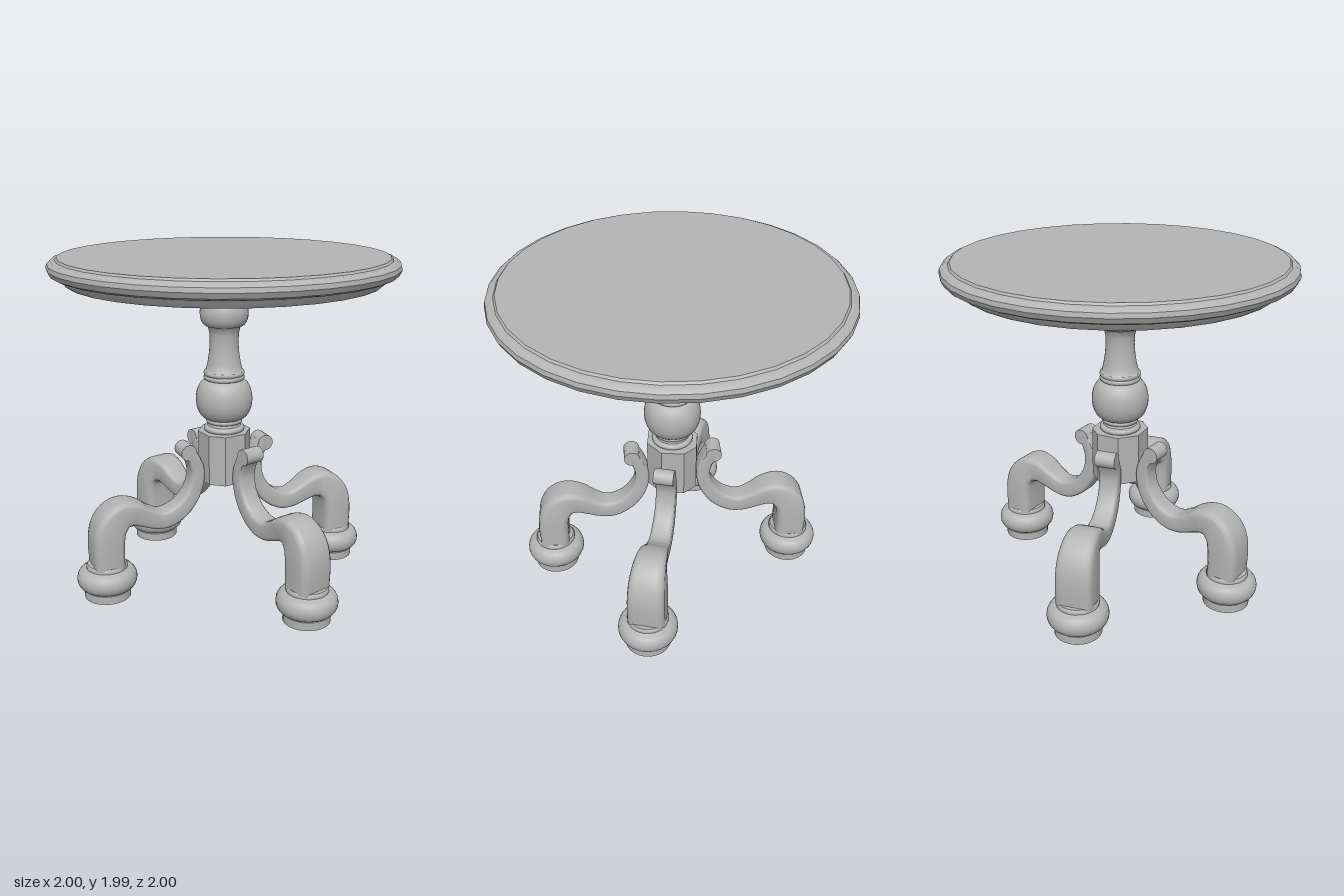
import * as THREE from 'three';
import { toCreasedNormals } from 'three/addons/utils/BufferGeometryUtils.js';

const grey = new THREE.MeshStandardMaterial({ color: 0xb4b4b4 });
grey.name = 'grey';

function part(name, geometry, crease = 0.6) {
  const mesh = new THREE.Mesh(toCreasedNormals(geometry, crease), grey);
  mesh.name = name;
  return mesh;
}

// Turned part from [radius, height] pairs, bottom to top
function turned(name, profile, segments) {
  return part(name, new THREE.LatheGeometry(profile.map(([r, y]) => new THREE.Vector2(r, y)), segments));
}

// Rounded bead between two heights
function bead(y0, y1, rEnd, rMid, steps = 10) {
  return Array.from({ length: steps + 1 }, (_, i) => {
    const t = i / steps;
    return [rEnd + (rMid - rEnd) * Math.sin(Math.PI * t), y0 + (y1 - y0) * (1 - Math.cos(Math.PI * t)) / 2];
  });
}

// Unit cross-section: square with rounded corners
function roundedSquare(radius) {
  const points = [];
  for (let corner = 0; corner < 4; corner++) {
    const mid = Math.PI / 4 + corner * Math.PI / 2;
    const cx = Math.sign(Math.cos(mid)) * (1 - radius), cy = Math.sign(Math.sin(mid)) * (1 - radius);
    for (let k = 0; k < 4; k++) {
      const a = (corner + k / 3) * Math.PI / 2;
      points.push([cx + radius * Math.cos(a), cy + radius * Math.sin(a)]);
    }
  }
  return points;
}

// Leg stations: [distance out, height, thickness, width]
const LEG = [
  [0.24, 0.845, 0.08, 0.12], [0.205, 0.78, 0.08, 0.12], [0.187, 0.70, 0.085, 0.12],
  [0.207, 0.60, 0.09, 0.12], [0.27, 0.505, 0.1, 0.125], [0.36, 0.448, 0.11, 0.13],
  [0.44, 0.443, 0.11, 0.135], [0.52, 0.475, 0.12, 0.15], [0.595, 0.51, 0.145, 0.17],
  [0.67, 0.508, 0.17, 0.19], [0.732, 0.45, 0.18, 0.21], [0.755, 0.35, 0.185, 0.22],
  [0.755, 0.2, 0.18, 0.22],
];

// Sweep the rounded section along the leg curve
function legGeometry() {
  const path = new THREE.CatmullRomCurve3(LEG.map(([r, y]) => new THREE.Vector3(r, y, 0)), false, 'catmullrom');
  const size = new THREE.CatmullRomCurve3(LEG.map(([, , h, w]) => new THREE.Vector3(h, w, 0)), false, 'catmullrom');
  const section = roundedSquare(0.4), n = section.length, rings = 48;
  const positions = [], index = [];
  for (let i = 0; i <= rings; i++) {
    const c = path.getPoint(i / rings), s = size.getPoint(i / rings), t = path.getTangent(i / rings);
    for (const [a, b] of section) {
      positions.push(c.x - t.y * a * s.x / 2, c.y + t.x * a * s.x / 2, b * s.y / 2);
    }
  }
  for (let i = 0; i < rings; i++) {
    for (let j = 0; j < n; j++) {
      const a = i * n + j, b = i * n + (j + 1) % n;
      index.push(a, b, b + n, a, b + n, a + n);
    }
  }
  const last = rings * n;
  for (let j = 1; j < n - 1; j++) {
    index.push(0, j + 1, j, last, last + j, last + j + 1);
  }
  const geometry = new THREE.BufferGeometry();
  geometry.setAttribute('position', new THREE.Float32BufferAttribute(positions, 3));
  geometry.setIndex(index);
  return geometry;
}

function createLeg() {
  const leg = new THREE.Group();
  leg.name = 'leg';
  leg.add(part('curvedLeg', legGeometry()));

  // Curled upper end
  const scroll = part('scroll', new THREE.CylinderGeometry(0.048, 0.048, 0.12, 20).rotateX(Math.PI / 2));
  scroll.position.set(0.248, 0.842, 0);
  leg.add(scroll);

  // Turned foot
  const foot = turned('foot', [
    [0, 0], [0.137, 0], [0.137, 0.05], ...bead(0.055, 0.182, 0.128, 0.178),
    [0.122, 0.186], [0.122, 0.2], [0.114, 0.212], [0, 0.212],
  ], 28);
  foot.position.x = 0.756;
  leg.add(foot);
  return leg;
}

export function createModel() {
  const table = new THREE.Group();
  table.name = 'pedestalTable';

  // Round top with moulded rim
  table.add(turned('tableTop', [
    [0, 1.835], [0.895, 1.835], [0.908, 1.845], [0.915, 1.865], [0.93, 1.88], [0.96, 1.883],
    [0.985, 1.895], [1.0, 1.925], [0.995, 1.95], [0.975, 1.968], [0.95, 1.972], [0.94, 1.984], [0, 1.985],
  ], 32));

  // Turned column
  table.add(turned('column', [
    [0, 0.94], [0.11, 0.94], ...bead(0.942, 0.972, 0.11, 0.122, 6),
    [0.1, 0.976], [0.095, 0.99], ...bead(0.992, 1.018, 0.1, 0.108, 6),
    ...bead(1.018, 1.256, 0.1, 0.168, 16),
    ...bead(1.256, 1.282, 0.112, 0.121, 6), ...bead(1.282, 1.31, 0.112, 0.121, 6),
    [0.108, 1.315], [0.097, 1.36], [0.088, 1.42], [0.084, 1.48], [0.086, 1.53], [0.095, 1.57],
    ...bead(1.575, 1.725, 0.1, 0.142, 12),
    ...bead(1.725, 1.75, 0.098, 0.105, 6), [0.097, 1.755], [0.097, 1.775],
    [0.105, 1.78], [0.105, 1.815], [0.11, 1.82], [0.11, 1.84],
  ], 32));

  // Chamfered block that carries the legs
  const outline = [
    [0.145, 0.065], [0.05, 0.16], [-0.05, 0.16], [-0.145, 0.065],
    [-0.145, -0.065], [-0.05, -0.16], [0.05, -0.16], [0.145, -0.065],
  ].map(([x, z]) => new THREE.Vector2(x, z));
  const block = new THREE.ExtrudeGeometry(new THREE.Shape(outline), { depth: 0.303, bevelEnabled: false });
  const hub = part('hub', block.rotateX(-Math.PI / 2));
  hub.position.y = 0.64;
  table.add(hub);

  // Four splayed legs
  const splay = Math.atan2(0.46, 0.6);
  for (const angle of [splay, Math.PI - splay, Math.PI + splay, -splay]) {
    const leg = createLeg();
    leg.rotation.y = angle;
    table.add(leg);
  }
  return table;
}
